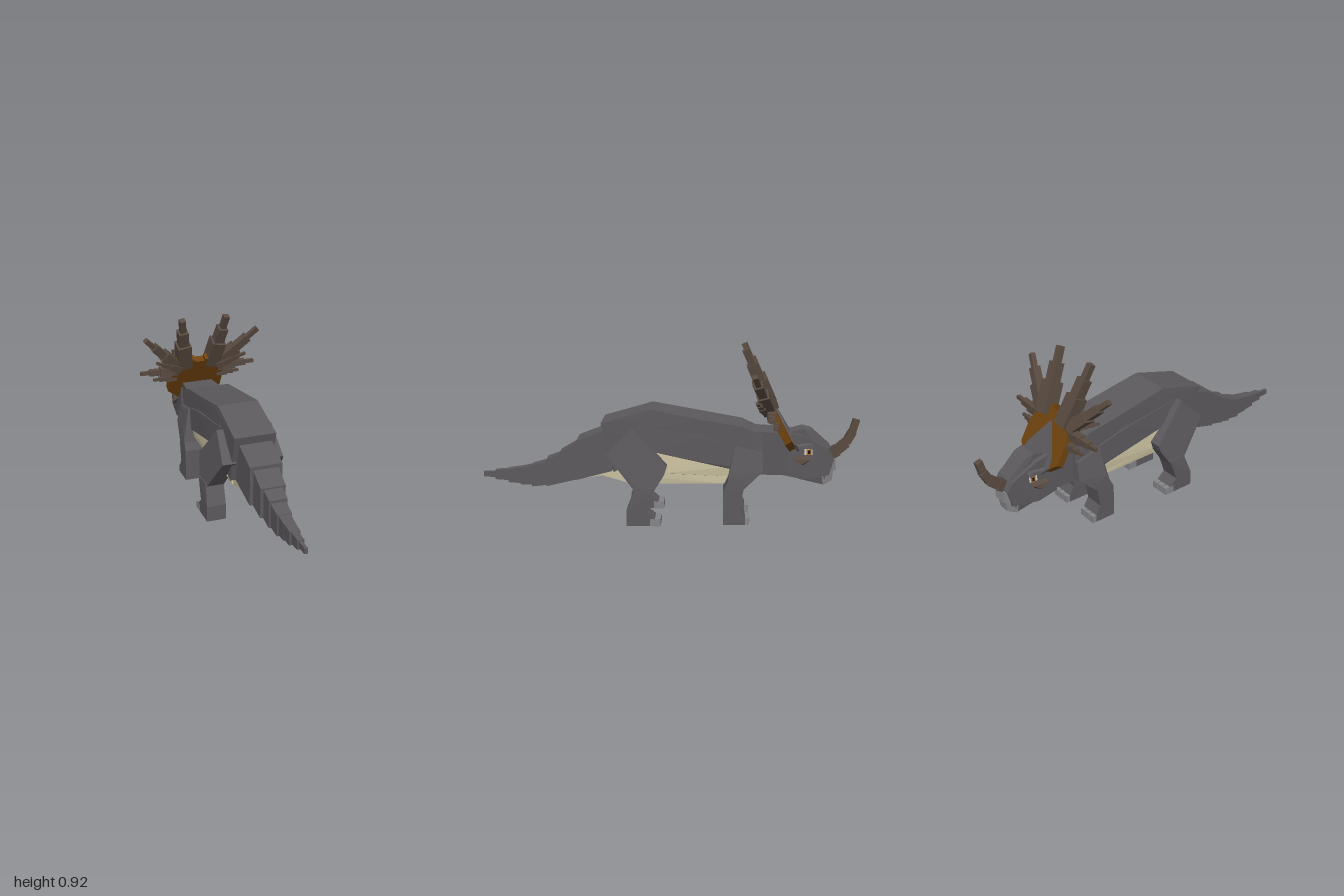
import * as THREE from 'three';
import { ConvexGeometry } from 'three/addons/geometries/ConvexGeometry.js';

const mat = (name, color) => {
  const m = new THREE.MeshStandardMaterial({ color });
  m.name = name;
  return m;
};

export function createModel() {
  const M = {
    hide: mat('grey hide', 0x5c595d),
    belly: mat('cream belly', 0xd2c8a6),
    horn: mat('brown horn', 0x584a40),
    frill: mat('orange brown frill', 0x6e420f),
    nail: mat('pale grey nail', 0x858488),
    white: mat('eye white', 0xd8d4cc),
    iris: mat('amber iris', 0xb06a1c),
    pupil: mat('black pupil', 0x161416),
  };
  const root = new THREE.Group();
  root.name = 'hornedDinosaur';
  const C = 0.028; // body midline
  const H = 0.01; // head midline

  const add = (name, geo, m) => {
    const mesh = new THREE.Mesh(geo, m);
    mesh.name = name;
    root.add(mesh);
    return mesh;
  };
  const hull = (name, m, pts) =>
    add(name, new ConvexGeometry(pts.map((p) => new THREE.Vector3(...p))), m);
  // symmetric solid from a side profile of [z, y, half width]
  const sym = (name, m, cx, prof) =>
    hull(name, m, prof.flatMap(([z, y, w]) => [[cx - w, y, z], [cx + w, y, z]]));
  // limb piece from a side profile of [z, y, inner x, outer x]
  const limb = (name, m, s, prof) =>
    hull(name, m, prof.flatMap(([z, y, a, b]) => [[C + s * a, y, z], [C + s * b, y, z]]));
  const box = (name, m, x, y, z, w, h, d) =>
    add(name, new THREE.BoxGeometry(w, h, d), m).position.set(x, y, z);
  // square bar between two points
  const up = new THREE.Vector3(0, 1, 0);
  const bar = (name, m, a, b, w, d = w) => {
    const dir = b.clone().sub(a);
    const mesh = add(name, new THREE.BoxGeometry(w, dir.length(), d), m);
    mesh.position.copy(a).add(b).multiplyScalar(0.5);
    mesh.quaternion.setFromUnitVectors(up, dir.normalize());
  };

  // trunk
  sym('hips', M.hide, C, [
    [0.355, 0.522, 0.112], [0.094, 0.598, 0.11], [0.0, 0.57, 0.115],
    [0.29, 0.26, 0.112], [0.08, 0.37, 0.118],
  ]);
  sym('back', M.hide, C, [
    [0.094, 0.597, 0.112], [-0.2, 0.543, 0.117], [-0.383, 0.512, 0.117], [-0.485, 0.464, 0.112],
    [-0.485, 0.37, 0.117], [-0.18, 0.44, 0.117], [0.17, 0.49, 0.117],
  ]);
  sym('flanks', M.hide, C, [
    [0.17, 0.507, 0.12], [-0.18, 0.458, 0.127], [-0.47, 0.38, 0.124],
    [-0.45, 0.26, 0.118], [-0.33, 0.3, 0.127], [-0.17, 0.324, 0.127], [0.08, 0.375, 0.127],
  ]);
  sym('chest', M.hide, C, [
    [-0.33, 0.4, 0.11], [-0.49, 0.43, 0.1], [-0.49, 0.26, 0.09], [-0.34, 0.25, 0.1],
  ]);
  sym('belly', M.belly, C, [
    [0.24, 0.36, 0.115], [0.08, 0.378, 0.122], [-0.17, 0.33, 0.122], [-0.34, 0.3, 0.12],
    [-0.34, 0.245, 0.11], [0.03, 0.26, 0.118], [0.25, 0.265, 0.115],
  ]);
  sym('bellyPlate', M.belly, C, [
    [0.2, 0.28, 0.085], [-0.32, 0.26, 0.085], [-0.29, 0.197, 0.08], [0.03, 0.222, 0.08], [0.2, 0.19, 0.07],
  ]);
  sym('rumpPlate', M.belly, C, [
    [0.16, 0.27, 0.07], [0.38, 0.3, 0.07], [0.37, 0.235, 0.065], [0.2, 0.185, 0.06],
  ]);

  // tail: [front z, top, bottom, back z, top, bottom, half width]
  [
    [0.3, 0.495, 0.262, 0.49, 0.42, 0.21, 0.09],
    [0.44, 0.43, 0.22, 0.585, 0.345, 0.185, 0.069],
    [0.56, 0.345, 0.187, 0.655, 0.31, 0.163, 0.05],
    [0.64, 0.3, 0.17, 0.735, 0.272, 0.158, 0.04],
    [0.72, 0.272, 0.165, 0.8, 0.255, 0.167, 0.031],
    [0.79, 0.258, 0.172, 0.865, 0.247, 0.177, 0.028],
    [0.85, 0.247, 0.185, 0.935, 0.24, 0.19, 0.018],
    [0.92, 0.233, 0.198, 1.0, 0.23, 0.202, 0.009],
  ].forEach(([z0, t0, b0, z1, t1, b1, w], i) =>
    sym('tail' + (i + 1), M.hide, C + 0.006, [[z0, t0, w], [z0, b0, w], [z1, t1, w * 0.96], [z1, b1, w * 0.96]]));
  sym('tailPlate', M.belly, C, [[0.35, 0.28, 0.045], [0.48, 0.25, 0.045], [0.48, 0.203, 0.04], [0.33, 0.23, 0.045]]);

  // legs
  for (const s of [-1, 1]) {
    limb('hindThigh', M.hide, s, [
      [0.19, 0.507, 0.09, 0.15], [0.325, 0.37, 0.09, 0.165], [0.008, 0.308, 0.105, 0.185],
      [0.02, 0.27, 0.105, 0.19], [0.175, 0.185, 0.105, 0.2], [0.1, 0.14, 0.108, 0.213],
    ]);
    limb('hindShin', M.hide, s, [
      [0.17, 0.2, 0.107, 0.205], [0.07, 0.2, 0.107, 0.21], [0.215, 0.08, 0.108, 0.213], [0.115, 0.07, 0.108, 0.213],
    ]);
    limb('hindFoot', M.hide, s, [
      [0.215, 0.085, 0.108, 0.213], [0.215, 0, 0.108, 0.213], [0.065, 0, 0.108, 0.213],
      [0.065, 0.038, 0.108, 0.213], [0.115, 0.08, 0.108, 0.213],
    ]);
    limb('frontShoulder', M.hide, s, [
      [-0.34, 0.41, 0.08, 0.135], [-0.485, 0.378, 0.08, 0.135], [-0.49, 0.285, 0.07, 0.155],
      [-0.325, 0.26, 0.065, 0.165], [-0.39, 0.19, 0.063, 0.17], [-0.3, 0.19, 0.063, 0.17],
    ]);
    limb('frontShin', M.hide, s, [
      [-0.325, 0.26, 0.064, 0.168], [-0.4, 0.24, 0.064, 0.168], [-0.285, 0.18, 0.063, 0.172],
      [-0.388, 0.18, 0.063, 0.172], [-0.285, 0.05, 0.063, 0.172], [-0.37, 0.08, 0.063, 0.172],
    ]);
    limb('frontFoot', M.hide, s, [
      [-0.285, 0.09, 0.063, 0.172], [-0.285, 0, 0.063, 0.172], [-0.4, 0, 0.063, 0.172],
      [-0.4, 0.04, 0.063, 0.172], [-0.37, 0.09, 0.063, 0.172],
    ]);
    for (let i = -1; i <= 1; i++) {
      box('hindToe', M.nail, C + s * (0.16 + i * 0.038), 0.02, 0.065, 0.031, 0.04, 0.055);
      box('frontToe', M.nail, C + s * (0.118 + i * 0.038), 0.02, -0.4, 0.031, 0.04, 0.045);
    }
  }

  // neck and head
  sym('neck', M.hide, 0.02, [
    [-0.44, 0.48, 0.1], [-0.62, 0.475, 0.08], [-0.62, 0.243, 0.07], [-0.44, 0.25, 0.09],
  ]);
  sym('head', M.hide, H, [
    [-0.59, 0.475, 0.08], [-0.7, 0.455, 0.08], [-0.835, 0.38, 0.065], [-0.865, 0.33, 0.06],
    [-0.84, 0.24, 0.06], [-0.7, 0.222, 0.078], [-0.59, 0.244, 0.08],
  ]);
  sym('browRidge', M.hide, H, [
    [-0.6, 0.46, 0.05], [-0.7, 0.488, 0.055], [-0.745, 0.478, 0.05], [-0.845, 0.39, 0.045], [-0.8, 0.36, 0.06],
  ]);
  sym('lowerJaw', M.hide, H, [
    [-0.66, 0.25, 0.062], [-0.83, 0.26, 0.055], [-0.81, 0.186, 0.045], [-0.68, 0.218, 0.055],
  ]);
  sym('upperBeak', M.nail, H, [
    [-0.825, 0.32, 0.063], [-0.872, 0.325, 0.045], [-0.878, 0.265, 0.035], [-0.83, 0.255, 0.062],
  ]);
  sym('lowerBeak', M.nail, H, [
    [-0.8, 0.25, 0.058], [-0.865, 0.262, 0.035], [-0.858, 0.205, 0.03], [-0.81, 0.184, 0.048],
  ]);
  for (const s of [-1, 1]) {
    hull('cheekHorn', M.horn, [
      [H + s * 0.07, 0.35, -0.66], [H + s * 0.07, 0.345, -0.745], [H + s * 0.07, 0.298, -0.71],
      [H + s * 0.108, 0.335, -0.65], [H + s * 0.105, 0.305, -0.69], [H + s * 0.09, 0.33, -0.735],
    ]);
    hull('brow', M.hide, [
      [H + s * 0.06, 0.42, -0.65], [H + s * 0.092, 0.4, -0.65], [H + s * 0.092, 0.385, -0.75],
      [H + s * 0.06, 0.42, -0.76], [H + s * 0.088, 0.412, -0.74], [H + s * 0.06, 0.385, -0.7],
    ]);
    box('eyeWhite', M.white, H + s * 0.081, 0.37, -0.727, 0.008, 0.032, 0.042);
    box('iris', M.iris, H + s * 0.084, 0.37, -0.73, 0.006, 0.03, 0.024);
    box('pupil', M.pupil, H + s * 0.086, 0.37, -0.731, 0.005, 0.02, 0.011);
  }

  // curved nose horn
  const hornPath = [[0.325, -0.825], [0.365, -0.885], [0.405, -0.93], [0.465, -0.962], [0.53, -0.98]]
    .map(([y, z]) => new THREE.Vector3(H, y, z));
  for (let i = 0; i < 4; i++) bar('noseHorn', M.horn, hornPath[i], hornPath[i + 1], 0.045 - i * 0.006, 0.058 - i * 0.007);

  // tilted frill; t is the distance in front of its rear face
  const onFrill = (x, y, t) => [H + x, y + 0.49 * t, -0.49 - (0.65 - y) * 0.56 - 0.87 * t];
  const plate = (name, m, outline, t0, t1) =>
    hull(name, m, outline.flatMap(([x, y]) => [onFrill(x, y, t0), onFrill(x, y, t1)]));
  plate('frill', M.frill, [
    [-0.125, 0.635], [0.125, 0.635], [0.157, 0.52], [-0.157, 0.52],
    [0.157, 0.43], [-0.157, 0.43], [0.09, 0.38], [-0.09, 0.38],
  ], -0.015, 0.025);
  plate('foreheadShield', M.hide, [[-0.115, 0.4], [0.115, 0.4], [-0.1, 0.45], [0.1, 0.45], [0, 0.585], [-0.08, 0.36], [0.08, 0.36]], 0.02, 0.034);
  for (const x of [-0.135, -0.055, 0.055, 0.135]) {
    plate('frillKnob', M.frill, [[x * 0.85 - 0.02, 0.6], [x * 0.85 + 0.02, 0.6], [x * 0.85 - 0.018, 0.652], [x * 0.85 + 0.018, 0.652]], -0.02, 0.02);
  }

  // stepped frill spikes: base, tip, thickness
  const spikes = [
    [[0.08, 0.6, -0.53], [0.127, 0.912, -0.39], 0.078],
    [[0.11, 0.59, -0.52], [0.325, 0.805, -0.435], 0.062],
    [[0.12, 0.575, -0.53], [0.337, 0.58, -0.525], 0.046],
    [[0.12, 0.523, -0.56], [0.255, 0.523, -0.55], 0.034],
    [[0.11, 0.59, -0.5], [0.26, 0.66, -0.45], 0.035],
  ];
  for (const s of [-1, 1]) {
    for (const [a, b, w] of spikes) {
      const p = new THREE.Vector3(H + s * a[0], a[1], a[2]);
      const q = new THREE.Vector3(H + s * b[0], b[1], b[2]);
      const at = (t) => p.clone().lerp(q, t);
      bar('spikeBase', M.horn, p, at(0.48), w);
      bar('spikeMiddle', M.horn, at(0.44), at(0.76), w * 0.7);
      bar('spikeTip', M.horn, at(0.72), q, w * 0.42);
    }
  }
  return root;
}
